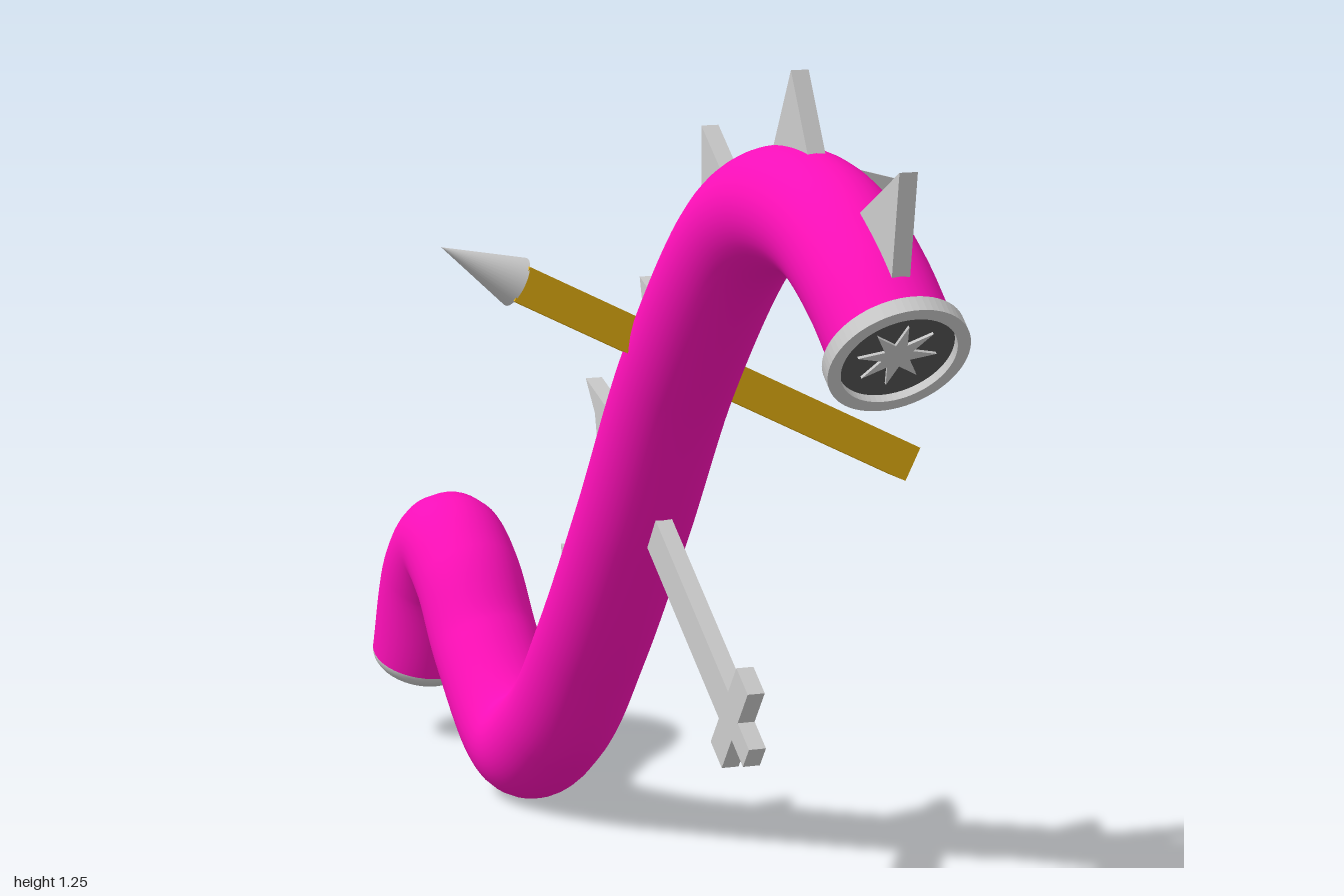
import * as THREE from 'three';

const X = -0.01; // centre plane of the body
const R = 0.086; // body radius
const THIN = 0.026; // thickness of the flat plates

const material = (color, extra = {}) => new THREE.MeshStandardMaterial({ color, ...extra });
const grey = material(0xcccccc);
const darkGrey = material(0x555555);
const pink = material(0xff0fb9);
const yellow = material(0xe6b010);

function add(parent, name, geometry, mat) {
  const mesh = new THREE.Mesh(geometry, mat);
  mesh.name = name;
  parent.add(mesh);
  return mesh;
}

// Flat plate cut from a polygon, centred on its own plane
function plate(points, depth) {
  const shape = new THREE.Shape(points.map(([a, b]) => new THREE.Vector2(a, b)));
  return new THREE.ExtrudeGeometry(shape, { depth, bevelEnabled: false }).translate(0, 0, -depth / 2);
}

// Plate whose polygon is given as (z, y), standing on the centre plane
const sidePlate = (points) => plate(points, THIN).rotateY(-Math.PI / 2).translate(X, 0, 0);

// Group at a body end with its +z axis pointing out of the body
function endGroup(parent, name, position, outward) {
  const group = new THREE.Group();
  group.name = name;
  group.position.copy(position);
  group.quaternion.setFromUnitVectors(new THREE.Vector3(0, 0, 1), outward);
  parent.add(group);
  return group;
}

// Lathe turned so that its axis is +z
const latheZ = (points) =>
  new THREE.LatheGeometry(points.map(([r, h]) => new THREE.Vector2(r, h)), 48).rotateX(Math.PI / 2);

export function createModel() {
  const model = new THREE.Group();
  model.name = 'spikedWorm';

  // Winding body, as (z, y) from mouth to tail
  const path = new THREE.CatmullRomCurve3(
    [
      [0.925, 0.914], [0.835, 0.988], [0.73, 1.045], [0.62, 1.064], [0.51, 1.05], [0.4, 0.995],
      [0.19, 0.78], [0.01, 0.525], [-0.155, 0.31], [-0.295, 0.16], [-0.445, 0.091],
      [-0.61, 0.205], [-0.7, 0.305], [-0.78, 0.344], [-0.855, 0.285], [-0.91, 0.14],
    ].map(([z, y]) => new THREE.Vector3(X, y, z))
  );
  add(model, 'body', new THREE.TubeGeometry(path, 160, R, 40), pink);

  // Mouth: rim, dark palate and a ring of teeth forming a star
  const mouth = endGroup(model, 'mouth', path.getPoint(0), path.getTangent(0).negate());
  const rim = new THREE.Shape().absarc(0, 0, 0.098, 0, Math.PI * 2);
  rim.holes.push(new THREE.Path().absarc(0, 0, 0.08, 0, Math.PI * 2, true));
  const rimGeometry = new THREE.ExtrudeGeometry(rim, { depth: 0.024, bevelEnabled: false, curveSegments: 32 });
  add(mouth, 'mouthRim', rimGeometry.translate(0, 0, -0.012), grey);
  add(mouth, 'palate', new THREE.CircleGeometry(0.085, 48), darkGrey);
  const star = [];
  for (let i = 0; i < 16; i++) {
    const r = i % 2 ? 0.022 : 0.056;
    const angle = (i * Math.PI) / 8;
    star.push([r * Math.cos(angle), r * Math.sin(angle)]);
  }
  add(mouth, 'teethStar', plate(star, 0.008), grey);

  // Low dome closing the tail
  const tail = endGroup(model, 'tail', path.getPoint(1), path.getTangent(1));
  const dome = new THREE.SphereGeometry(R, 40, 12, 0, Math.PI * 2, 0, Math.PI / 2);
  add(tail, 'tailCap', dome.rotateX(Math.PI / 2).scale(1, 1, 0.5), grey);

  // Spikes along the back: apex and two base corners as (z, y)
  const spikes = [
    [[0.957, 1.155], [0.935, 1.005], [0.83, 1.085]],
    [[0.61, 1.253], [0.67, 1.14], [0.55, 1.14]],
    [[0.3, 1.145], [0.39, 1.075], [0.303, 1.02]],
    [[0.07, 0.9], [0.166, 0.86], [0.1, 0.79]],
    [[-0.11, 0.68], [-0.005, 0.62], [-0.08, 0.55]],
    [[-0.25, 0.445], [-0.176, 0.405], [-0.23, 0.35]],
  ];
  for (const [apex, ...base] of spikes) {
    // Corners are pushed a little further so that they sink into the body
    const corners = base.map((p) => p.map((v, k) => apex[k] + (v - apex[k]) * 1.08));
    add(model, 'backSpike', sidePlate([apex, ...corners].reverse()), grey);
  }

  // Sword stuck through the body; u runs to the tip, v across
  const swordPoint = ([u, v]) => [0.406 - 0.81 * u + 0.59 * v, 0.316 + 0.59 * u + 0.81 * v];
  const half = [
    [-0.075, 0.018], [-0.025, 0.018], [-0.025, 0.078], [0.025, 0.078], [0.025, 0.028], [0.58, 0.028],
  ];
  const mirrored = half.map(([u, v]) => [u, -v]).reverse();
  add(model, 'sword', sidePlate([...half, [0.68, 0], ...mirrored].map(swordPoint)), grey);

  // Spear piercing the body sideways
  const spear = new THREE.Group();
  spear.name = 'spear';
  spear.position.set(0.354, 0.62, 0.175);
  spear.rotation.z = Math.atan2(0.609, 0.3);
  add(spear, 'spearShaft', new THREE.BoxGeometry(0.053, 0.68, 0.06).translate(0, 0.34, 0), yellow);
  add(spear, 'spearHead', new THREE.ConeGeometry(0.037, 0.125, 32).translate(0, 0.7405, 0), grey);
  model.add(spear);

  // Small axe stuck in the left side
  const axe = new THREE.Group();
  axe.name = 'axe';
  axe.position.z = 0.632;
  const head = [[0.03, 1.04], [0.085, 1.062], [0.139, 1.066], [0.14, 1.098], [0.05, 1.122]];
  add(axe, 'axeHead', plate(head, THIN), grey);
  const handle = add(axe, 'axeHandle', new THREE.BoxGeometry(0.016, 0.16, 0.014), yellow);
  handle.position.set(0.128, 1.003, 0);
  handle.rotation.z = 0.1;
  model.add(axe);

  return model;
}
